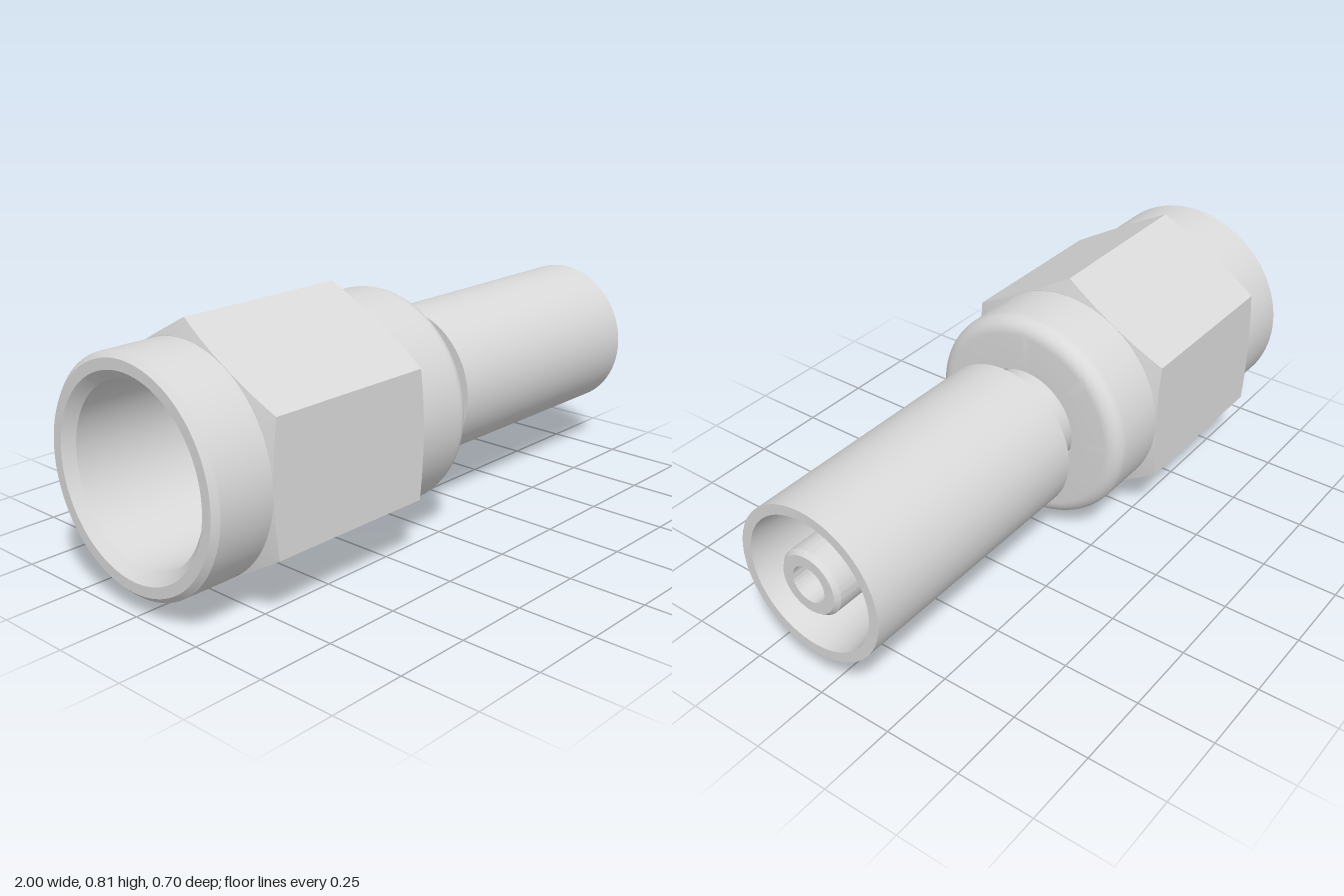
import * as THREE from 'three';
import { toCreasedNormals } from 'three/addons/utils/BufferGeometryUtils.js';

const AXIS_Y = 0.405; // height of the common axis
const FLAT = 0.351;   // hex apothem
const COLLAR = 0.35;  // collar radius

const steel = new THREE.MeshStandardMaterial({ color: 0xd9d9d9 });
steel.name = 'steel';

// Closed [x, radius] profile turned around the x axis: outside towards +x, inside back.
function turned(name, profile) {
  const points = [...profile, profile[0]].map(([x, r]) => new THREE.Vector2(r, x));
  const geometry = toCreasedNormals(new THREE.LatheGeometry(points, 96), 0.45);
  geometry.rotateZ(-Math.PI / 2);
  const mesh = new THREE.Mesh(geometry, steel);
  mesh.name = name;
  return mesh;
}

// Hexagonal band whose ends are cut by a shallow cone.
function hexBand(x0, x1, slope) {
  const perSide = 16, count = perSide * 6, positions = [];
  const section = (i) => {
    const a = (i / count) * Math.PI * 2; // corner at a = 0, pointing up
    const local = ((i % perSide) / perSide - 0.5) * Math.PI / 3;
    const r = FLAT / Math.cos(local);
    const cut = (r - FLAT) * slope;
    const at = (x, radius) => [x, Math.cos(a) * radius, Math.sin(a) * radius];
    return [at(x0, FLAT - 0.01), at(x0, FLAT), at(x0 + cut, r),
      at(x1 - cut, r), at(x1, FLAT), at(x1, FLAT - 0.01)];
  };
  for (let i = 0; i < count; i++) {
    const p = section(i), q = section((i + 1) % count);
    for (let k = 0; k < p.length - 1; k++) {
      positions.push(...p[k], ...q[k], ...p[k + 1], ...q[k], ...q[k + 1], ...p[k + 1]);
    }
  }
  const geometry = new THREE.BufferGeometry();
  geometry.setAttribute('position', new THREE.Float32BufferAttribute(positions, 3));
  geometry.computeVertexNormals();
  const mesh = new THREE.Mesh(geometry, steel);
  mesh.name = 'hexBand';
  return mesh;
}

export function createModel() {
  const group = new THREE.Group();
  group.name = 'coaxialConnector';

  // Rounded shoulder at the inner end of the nut
  const shoulder = [];
  for (let i = 0; i <= 8; i++) {
    const a = (i / 8) * Math.PI / 2;
    shoulder.push([-0.028 + 0.05 * Math.sin(a), COLLAR - 0.05 + 0.05 * Math.cos(a)]);
  }

  const parts = [
    // Nut with open socket on the left
    turned('nutBody', [
      [-1, 0.333], [-0.983, COLLAR], ...shoulder,
      [0.022, 0.18], [-0.2, 0.18], [-0.2, 0.27], [-0.97, 0.27], [-1, 0.30],
    ]),
    hexBand(-0.8, -0.198, 0.29),
    // Neck with the flange captured in the nut
    turned('neck', [
      [-0.32, 0.058], [-0.32, 0.268], [-0.21, 0.268], [-0.21, 0.163],
      [0.16, 0.163], [0.16, 0.058],
    ]),
    // Outer sleeve with tapered bore
    turned('sleeve', [
      [0.135, 0.058], [0.135, 0.249], [1, 0.249], [1, 0.217],
      [0.75, 0.185], [0.75, 0.058],
    ]),
    // Inner tube
    turned('innerTube', [
      [0.74, 0.058], [0.74, 0.105], [0.985, 0.105], [1, 0.093], [1, 0.058],
    ]),
  ];
  parts.forEach((part) => {
    part.position.y = AXIS_Y;
    group.add(part);
  });
  return group;
}
